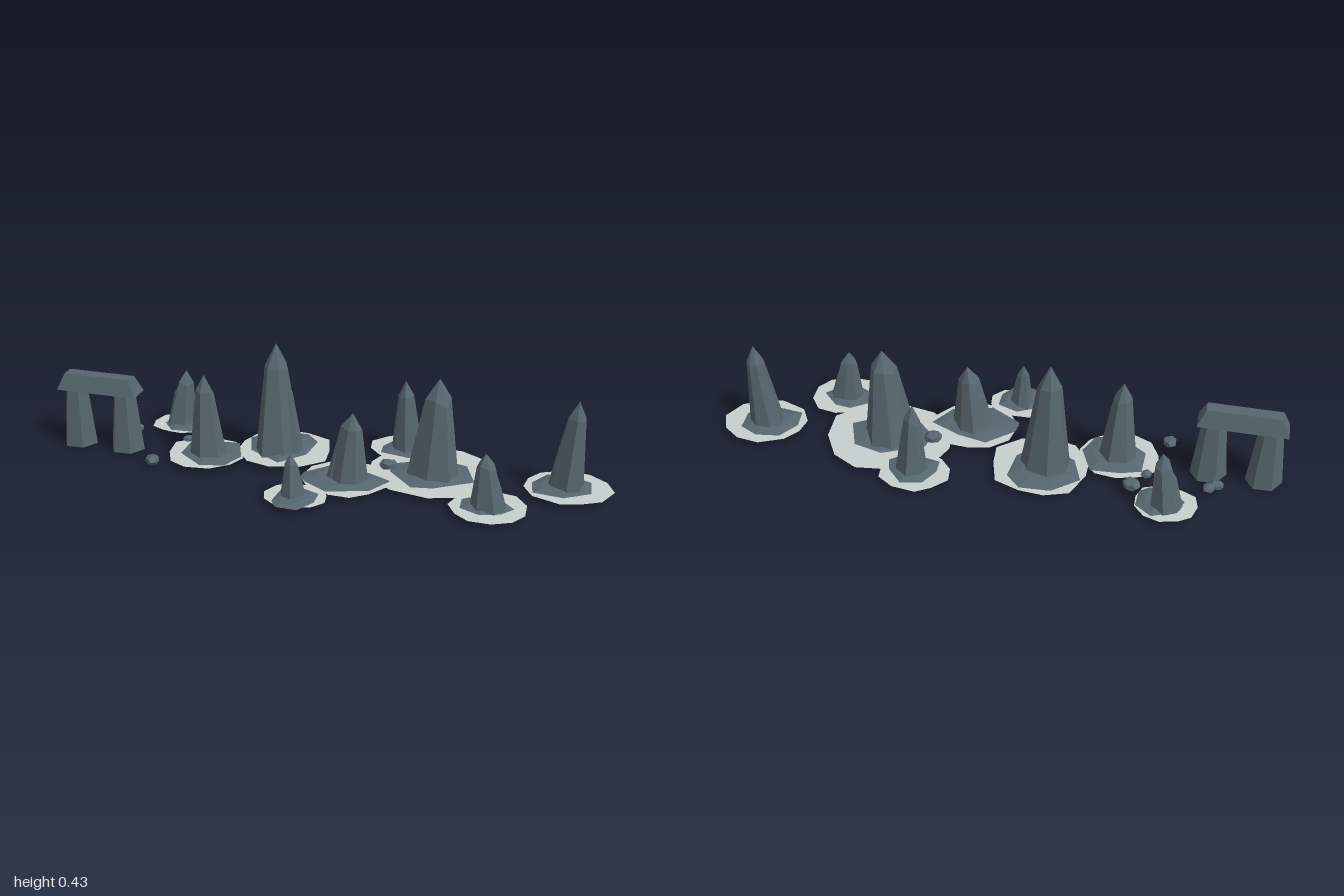
import * as THREE from 'three';

const rock = new THREE.MeshStandardMaterial({ name: 'slateRock', color: 0x56666f, flatShading: true });
const foamMat = new THREE.MeshStandardMaterial({ name: 'paleFoam', color: 0xc6cfcd, side: THREE.DoubleSide });

// Small seeded random generator
function seeded(seed) {
  let s = seed * 7919 + 17;
  return () => (s = (s * 16807) % 2147483647) / 2147483647;
}

// Closed solid through a stack of rings, bottom to top
function loft(rings) {
  const pos = [];
  const tri = (...pts) => pts.forEach((p) => pos.push(p.x, p.y, p.z));
  const n = rings[0].length;
  const mid = (r) => r.reduce((a, p) => a.add(p), new THREE.Vector3()).divideScalar(n);
  const low = rings[0], high = rings[rings.length - 1];
  const lowMid = mid(low), highMid = mid(high);
  for (let i = 0; i < n; i++) {
    const j = (i + 1) % n;
    for (let k = 0; k < rings.length - 1; k++) {
      const a = rings[k], b = rings[k + 1];
      tri(a[i], b[i], a[j]);
      tri(a[j], b[i], b[j]);
    }
    tri(lowMid, low[i], low[j]);
    tri(highMid, high[j], high[i]);
  }
  const g = new THREE.BufferGeometry();
  g.setAttribute('position', new THREE.Float32BufferAttribute(pos, 3));
  g.computeVertexNormals();
  return g;
}

// Irregular polygon stretched to fill the box [x0, x1, z0, z1]
function blob([x0, x1, z0, z1], n, jitter, rnd) {
  const turn = rnd() * 6.28;
  const pts = Array.from({ length: n }, (_, i) => {
    const a = turn + ((i + (rnd() - 0.5) * jitter) / n) * Math.PI * 2;
    const r = 1 - rnd() * jitter * 0.6;
    return [Math.cos(a) * r, Math.sin(a) * r];
  });
  const fit = (k, lo, hi) => {
    const v = pts.map((p) => p[k]);
    const a = Math.min(...v), b = Math.max(...v);
    return v.map((t) => lo + ((t - a) / (b - a)) * (hi - lo));
  };
  const xs = fit(0, x0, x1), zs = fit(1, z0, z1);
  return xs.map((x, i) => new THREE.Vector3(x, 0, zs[i]));
}

// Copy of a ring scaled about (cx, cz), moved to (tx, tz) at height y
const ringAt = (ring, cx, cz, s, tx, y, tz) =>
  ring.map((p) => new THREE.Vector3(tx + (p.x - cx) * s, y, tz + (p.z - cz) * s));

function add(parent, name, geometry, material = rock) {
  const m = new THREE.Mesh(geometry, material);
  m.name = name;
  parent.add(m);
  return m;
}

// Tapered spire: wide foot, narrow shoulder, pointed tip
function spire(box, tip, rnd) {
  const foot = blob(box, 7, 0.3, rnd);
  const cx = (box[0] + box[1]) / 2, cz = (box[2] + box[3]) / 2;
  const [ax, h, az] = tip;
  const mix = (t) => [cx + (ax - cx) * t, cz + (az - cz) * t];
  const [sx, sz] = mix(0.85);
  const shoulder = ringAt(foot, cx, cz, 0.47, sx, h * 0.8, sz);
  shoulder.forEach((p) => (p.y += (rnd() - 0.5) * h * 0.08));
  return loft([foot, shoulder, ringAt(foot, cx, cz, 0.01, ax, h, az)]);
}

// tip [x, height, z], then boxes for foot, shelf and foam
const stacks = [
  { tip: [-0.605, 0.235, -0.225], foot: [-0.69, -0.58, -0.28, -0.165], shelf: [-0.69, -0.53, -0.29, -0.14], foam: [-0.735, -0.525, -0.31, -0.125] },
  { tip: [-0.44, 0.325, 0.01], foot: [-0.505, -0.365, -0.06, 0.075], shelf: [-0.53, -0.31, -0.1, 0.11], foam: [-0.585, -0.3, -0.12, 0.135] },
  { tip: [-0.205, 0.43, -0.097], foot: [-0.28, -0.105, -0.185, -0.01], shelf: [-0.33, -0.08, -0.245, 0.015], foam: [-0.345, -0.01, -0.265, 0.05] },
  { tip: [-0.045, 0.18, 0.247], foot: [-0.088, 0.005, 0.19, 0.292], shelf: [-0.1, 0.04, 0.175, 0.335], foam: [-0.145, 0.075, 0.15, 0.325] },
  { tip: [0.12, 0.27, 0.065], foot: [0.025, 0.18, -0.005, 0.135], shelf: [-0.06, 0.25, -0.03, 0.18], foam: [-0.06, 0.255, -0.07, 0.2] },
  { tip: [0.238, 0.288, -0.224], foot: [0.19, 0.305, -0.292, -0.17], shelf: [0.16, 0.34, -0.31, -0.15], foam: [0.11, 0.355, -0.345, -0.13] },
  { tip: [0.39, 0.378, -0.06], foot: [0.285, 0.47, -0.15, 0.03], shelf: [0.23, 0.53, -0.17, 0.07], foam: [0.15, 0.605, -0.265, 0.13] },
  { tip: [0.587, 0.215, 0.138], foot: [0.54, 0.67, 0.085, 0.19], shelf: [0.51, 0.69, 0.06, 0.2], foam: [0.47, 0.73, 0.02, 0.25] },
  { tip: [0.857, 0.342, -0.08], foot: [0.77, 0.895, -0.135, -0.02], shelf: [0.72, 0.925, -0.17, 0.005], foam: [0.695, 1.0, -0.21, 0.05] },
];

function seaStack({ tip, foot, shelf, foam }, index) {
  const g = new THREE.Group();
  g.name = 'seaStack' + (index + 1);
  const rnd = seeded(index + 3);
  add(g, 'spire', spire(foot, tip, rnd));

  // Lower shard leaning on the main spire
  const w = (foot[1] - foot[0]) * 0.55;
  const side = tip[0] > (foot[0] + foot[1]) / 2 ? foot[0] : foot[1] - w;
  const zc = (foot[2] + foot[3]) / 2;
  add(g, 'shard', spire([side, side + w, zc - w / 2, zc + w / 2],
    [side + w / 2 + (tip[0] - side - w / 2) * 0.4, tip[1] * 0.72, zc], rnd));

  // Shallow rock shelf round the foot
  const edge = blob(shelf, 7, 0.5, rnd);
  const sx = (shelf[0] + shelf[1]) / 2, sz = (shelf[2] + shelf[3]) / 2;
  add(g, 'rockShelf', loft([
    ringAt(edge, sx, sz, 0.9, sx, 0.018, sz),
    ringAt(edge, sx, sz, 1, sx, 0.022, sz),
    ringAt(edge, sx, sz, 0.65, sx, 0.032, sz),
  ]));

  // Flat foam patch
  const outline = blob(foam, 11, 0.25, rnd).map((p) => new THREE.Vector2(p.x, -p.z));
  const patch = add(g, 'foam', new THREE.ShapeGeometry(new THREE.Shape(outline)), foamMat);
  patch.rotation.x = -Math.PI / 2;
  patch.position.y = 0.02 + index * 0.0001;
  return g;
}

function stoneArch() {
  const g = new THREE.Group();
  g.name = 'stoneArch';
  for (const x of [-0.942, -0.752]) {
    const leg = add(g, 'archLeg', new THREE.CylinderGeometry(0.037, 0.058, 0.23, 6));
    leg.rotation.y = Math.PI / 6;
    leg.scale.x = 1.12;
    leg.position.set(x, 0.115, 0.005);
  }
  // Lintel with bevelled upper edges
  const lintel = new THREE.BoxGeometry(0.305, 0.06, 0.085);
  const p = lintel.attributes.position;
  for (let i = 0; i < p.count; i++) {
    if (p.getY(i) > 0) p.setXYZ(i, p.getX(i) * 0.83, p.getY(i), p.getZ(i) * 0.55);
  }
  lintel.computeVertexNormals();
  add(g, 'lintel', lintel).position.set(-0.848, 0.25, 0.007);
  return g;
}

export function createModel() {
  const model = new THREE.Group();
  model.name = 'seaStacks';
  stacks.forEach((s, i) => model.add(seaStack(s, i)));
  model.add(stoneArch());

  // Loose boulders: x, y, z, radius
  [
    [-0.785, 0.025, -0.085, 0.027], [-0.762, 0.028, -0.11, 0.025],
    [-0.505, 0.042, -0.165, 0.034], [-0.547, 0.025, -0.08, 0.022],
    [-0.606, 0.024, 0.12, 0.03], [0.22, 0.035, -0.055, 0.034],
  ].forEach(([x, y, z, r], i) => {
    const b = add(model, 'boulder', new THREE.DodecahedronGeometry(r));
    b.position.set(x, y, z);
    b.scale.set(1, 0.6, 0.85);
    b.rotation.y = i * 1.3;
  });
  return model;
}
